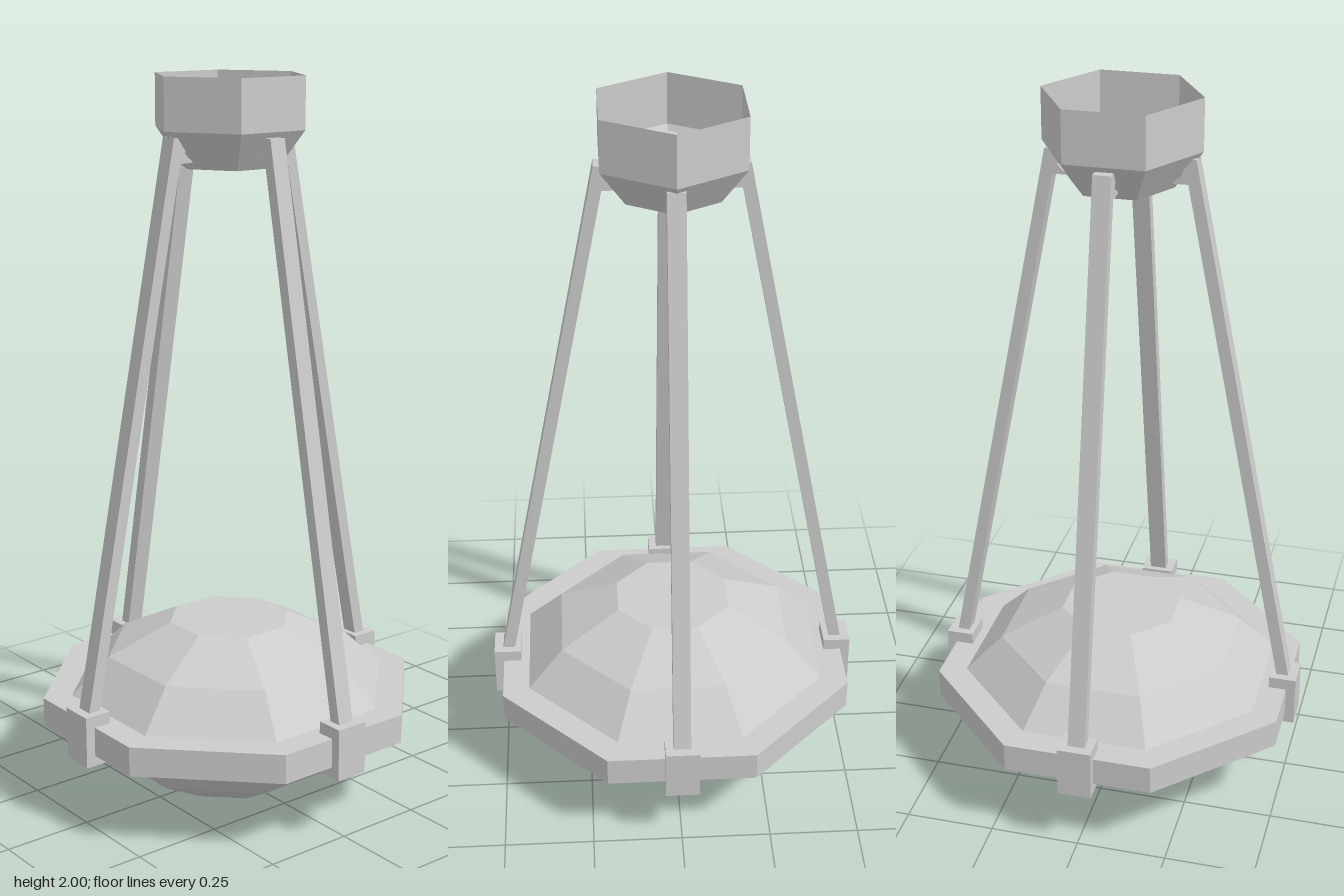
import * as THREE from 'three';

const grey = new THREE.MeshStandardMaterial({ color: 0xcccccc, flatShading: true });
const greyOpen = new THREE.MeshStandardMaterial({ color: 0xcccccc, flatShading: true, side: THREE.DoubleSide });

// Faceted turned part; profile is [apothem, y] running from bottom to top on the outside
function faceted(name, profile, sides, phiStart, material) {
  const k = 1 / Math.cos(Math.PI / sides);
  const points = profile.map(([a, y]) => new THREE.Vector2(a * k, y));
  const mesh = new THREE.Mesh(new THREE.LatheGeometry(points, sides, phiStart), material);
  mesh.name = name;
  return mesh;
}

export function createModel() {
  const model = new THREE.Group();
  model.name = 'hangingLamp';

  // Octagonal glass bowl, mirrored top and bottom
  model.add(faceted('bowl', [
    [0, 0], [0.16, 0], [0.325, 0.1], [0.425, 0.215],
    [0.425, 0.295], [0.325, 0.4], [0.16, 0.485], [0, 0.485],
  ], 8, Math.PI / 8, grey));

  // Flat octagonal band around the bowl
  model.add(faceted('ring', [
    [0.415, 0.215], [0.498, 0.215], [0.498, 0.297], [0.415, 0.297], [0.415, 0.215],
  ], 8, Math.PI / 8, grey));

  // Open hexagonal ceiling cup with tapered base
  model.add(faceted('ceilingCup', [
    [0, 1.76], [0.121, 1.76], [0.185, 1.86], [0.185, 2],
  ], 6, Math.PI / 6, greyOpen));

  // Slanted rod ending in a notched hook that enters the cup wall
  const outline = [
    [0.505, 0.3], [0.2, 1.845], [0.155, 1.845], [0.155, 1.817], [0.165, 1.805],
    [0.15, 1.788], [0.122, 1.787], [0.122, 1.778], [0.18, 1.778], [0.471, 0.3],
  ].map(([x, y]) => new THREE.Vector2(x, y));
  const rodGeometry = new THREE.ExtrudeGeometry(new THREE.Shape(outline), { depth: 0.048, bevelEnabled: false });
  rodGeometry.translate(0, 0, -0.024);

  // Clamp block gripping the ring
  const clampGeometry = new THREE.BoxGeometry(0.077, 0.145, 0.094);
  clampGeometry.translate(0.4865, 0.258, 0);

  // Four hangers: left, back, right, front
  ['left', 'back', 'right', 'front'].forEach((side, i) => {
    const hanger = new THREE.Group();
    hanger.name = side + 'Hanger';
    const rod = new THREE.Mesh(rodGeometry, grey);
    rod.name = 'rod';
    const clamp = new THREE.Mesh(clampGeometry, grey);
    clamp.name = 'clamp';
    hanger.add(rod, clamp);
    hanger.rotation.y = i * Math.PI / 2;
    model.add(hanger);
  });

  return model;
}
